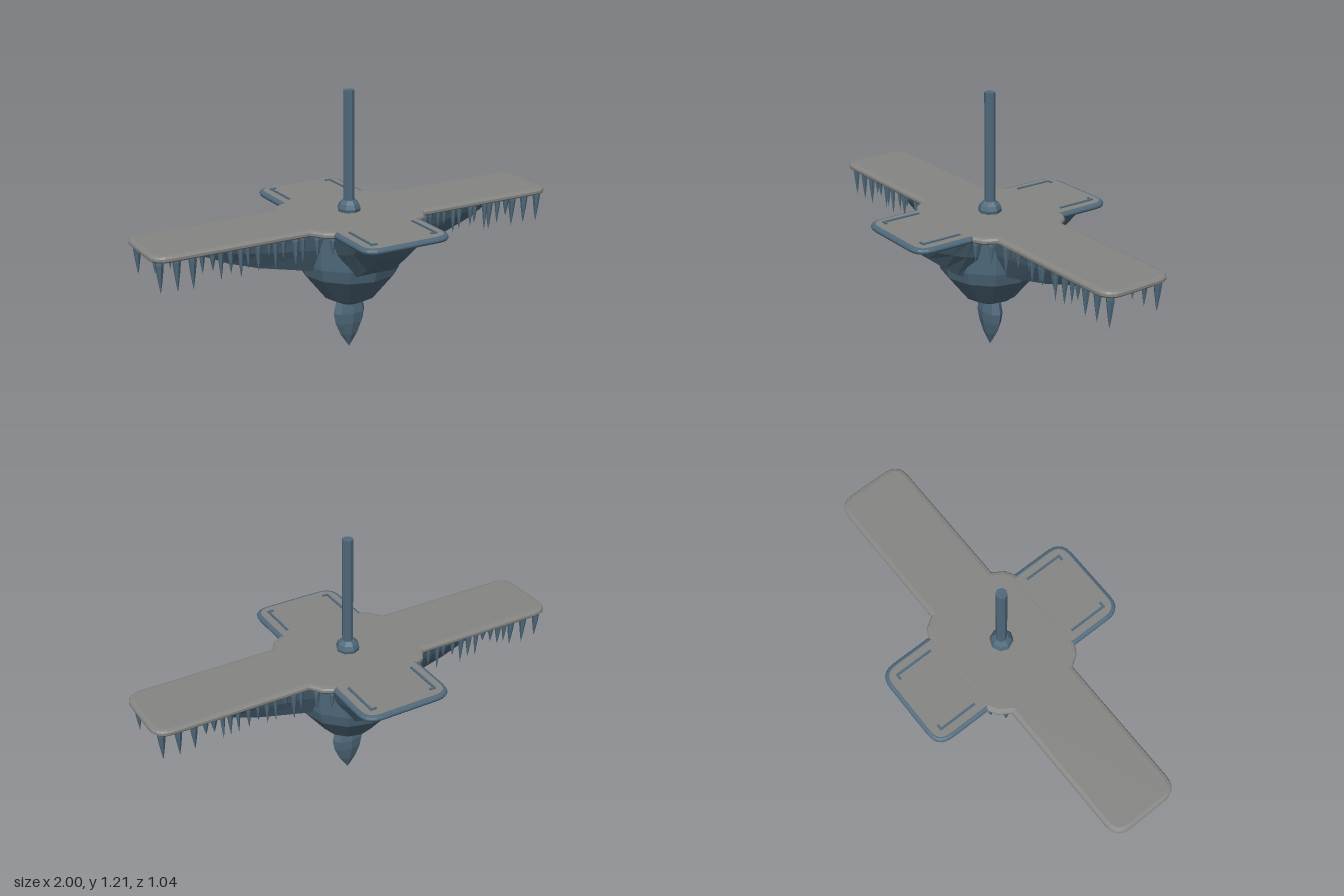
import * as THREE from 'three';

const stone = new THREE.MeshStandardMaterial({ color: 0x858583 });
stone.name = 'stone grey';
const ice = new THREE.MeshStandardMaterial({ color: 0x4f697b });
ice.name = 'ice blue';

// Faceted normals for the low-poly look
function facet(geometry) {
  const g = geometry.index ? geometry.toNonIndexed() : geometry;
  g.computeVertexNormals();
  return g;
}

function add(parent, name, geometry, material, x = 0, y = 0, z = 0) {
  const mesh = new THREE.Mesh(geometry, material);
  mesh.name = name;
  mesh.position.set(x, y, z);
  parent.add(mesh);
  return mesh;
}

// Polygon whose corners [x, z, radius] are rounded
function roundedPolygon(corners) {
  const shape = new THREE.Shape();
  corners.forEach(([x, z, r], i) => {
    const p = new THREE.Vector2(x, z);
    const toward = (c) => new THREE.Vector2(c[0], c[1]).sub(p).setLength(r).add(p);
    const a = toward(corners[(i + corners.length - 1) % corners.length]);
    const b = toward(corners[(i + 1) % corners.length]);
    if (i === 0) shape.moveTo(a.x, a.y); else shape.lineTo(a.x, a.y);
    if (r > 0) shape.quadraticCurveTo(x, z, b.x, b.y);
  });
  return shape;
}

// Horizontal slab between two heights with bevelled rims
function slab(shape, y0, y1, bevel) {
  const t = bevel ? 0.01 : 0;
  const g = new THREE.ExtrudeGeometry(shape, {
    depth: y1 - y0 - 2 * t, curveSegments: 5,
    bevelEnabled: bevel > 0, bevelThickness: t, bevelSize: bevel, bevelOffset: -bevel, bevelSegments: 2,
  });
  g.rotateX(-Math.PI / 2);
  g.translate(0, y0 + t, 0);
  return g;
}

function crossDeck(inset) {
  const x = 1 - inset, z = 0.172 - inset, f = 0.25 - inset, r = 0.08;
  return roundedPolygon([
    [x, -z, r], [x, z, r], [0.29, z, 0], [0.255, f - 0.025, 0], [0.21, f, 0],
    [-0.21, f, 0], [-0.255, f - 0.025, 0], [-0.29, z, 0], [-x, z, r], [-x, -z, r],
    [-0.29, -z, 0], [-0.255, 0.025 - f, 0], [-0.21, -f, 0],
    [0.21, -f, 0], [0.255, 0.025 - f, 0], [0.29, -z, 0],
  ]);
}

function shortDeck(inset) {
  const x = 0.216 - inset, z = 0.52 - inset, r = 0.08 - inset;
  return roundedPolygon([[x, -z, r], [x, z, r], [-x, z, r], [-x, -z, r]]);
}

// Tapered keel under an arm, lofted along +z from [distance, half width, bottom]
function keel(sections) {
  const outline = [[-1, 0], [-0.82, 0.45], [-0.45, 1], [0.45, 1], [0.82, 0.45], [1, 0]];
  const top = 0.636, pos = [], idx = [], n = outline.length;
  for (const [d, w, bottom] of sections) {
    for (const [u, v] of outline) pos.push(u * w, top + (bottom - top) * v, d);
  }
  for (let i = 0; i < sections.length - 1; i++) {
    for (let j = 0; j < n - 1; j++) {
      const a = i * n + j, b = a + 1, c = a + n, e = c + 1;
      idx.push(a, b, c, b, e, c);
    }
  }
  const g = new THREE.BufferGeometry();
  g.setAttribute('position', new THREE.Float32BufferAttribute(pos, 3));
  g.setIndex(idx);
  return facet(g);
}

function lathe(points, sides) {
  return facet(new THREE.LatheGeometry(points.map(([r, y]) => new THREE.Vector2(r, y)), sides));
}

export function createModel() {
  const model = new THREE.Group();
  model.name = 'hangingIcePlatform';

  // Deck
  add(model, 'longDeck', slab(crossDeck(0), 0.63, 0.661, 0.02), stone);
  add(model, 'longDeckUnderside', slab(crossDeck(0.028), 0.627, 0.632, 0), ice);
  add(model, 'shortDeck', slab(shortDeck(0), 0.633, 0.659, 0.014), ice);
  add(model, 'shortDeckTop', slab(shortDeck(0.018), 0.655, 0.6605, 0), stone);

  // Raised ridges with a short hook on the short arms
  for (const sx of [-1, 1]) for (const sz of [-1, 1]) {
    add(model, 'ridge', new THREE.BoxGeometry(0.01, 0.012, 0.19), ice, sx * 0.158, 0.66, sz * 0.37);
    add(model, 'ridgeHook', new THREE.BoxGeometry(0.03, 0.012, 0.01), ice, sx * 0.148, 0.66, sz * 0.46);
  }

  // Bowl-shaped body and hanging spike
  add(model, 'bowl', lathe([[0, 0.218], [0.05, 0.225], [0.122, 0.262], [0.225, 0.39], [0.243, 0.45], [0.252, 0.636]], 12), ice);
  const spike = add(model, 'bottomSpike',
    lathe([[0, 0], [0.045, 0.065], [0.071, 0.125], [0.081, 0.175], [0.068, 0.23], [0, 0.25]], 8), ice);
  spike.scale.z = 0.53;

  // Keels under the four arms
  const longKeel = keel([[0.18, 0.15, 0.42], [0.24, 0.145, 0.436], [0.48, 0.12, 0.49], [0.62, 0.105, 0.535], [0.74, 0.085, 0.59], [0.83, 0.06, 0.635]]);
  const shortKeel = keel([[0.18, 0.2, 0.41], [0.24, 0.195, 0.44], [0.3, 0.185, 0.485], [0.38, 0.17, 0.55], [0.45, 0.15, 0.635]]);
  for (const s of [-1, 1]) {
    add(model, 'longKeel', longKeel, ice).rotation.y = s * Math.PI / 2;
    add(model, 'shortKeel', shortKeel, ice).rotation.y = s > 0 ? 0 : Math.PI;
  }

  // Post and collar
  add(model, 'post', facet(new THREE.CylinderGeometry(0.025, 0.025, 0.56, 8)), ice, 0, 0.93, 0);
  add(model, 'collar', lathe([[0.05, 0.655], [0.054, 0.675], [0.046, 0.695], [0.03, 0.712], [0, 0.712]], 8), ice);

  // Icicles along the rims of the long arms
  let seed = 7;
  const rand = () => (seed = (seed * 16807) % 2147483647) / 2147483647;
  const icicle = lathe([[0, -1], [0.35, -0.75], [0.75, -0.4], [1, -0.12], [0.85, 0]], 6);
  const hang = (x, z, length, radius) => add(model, 'icicle', icicle, ice, x, 0.634, z).scale.set(radius, length, radius);
  for (const sx of [-1, 1]) for (const sz of [-1, 1]) {
    for (const x of [0.96, 0.885, 0.815]) hang(sx * x, sz * 0.125, 0.14 + 0.015 * rand(), 0.018);
    for (let x = 0.765; x > 0.3; x -= 0.042) {
      hang(sx * (x + 0.01 * rand()), sz * (0.115 + 0.03 * rand()), 0.06 + 0.085 * rand(), 0.011 + 0.006 * rand());
    }
    hang(sx * 0.265, sz * 0.185, 0.1, 0.014);
    hang(sx * 0.215, sz * 0.232, 0.085, 0.013);
  }
  return model;
}
